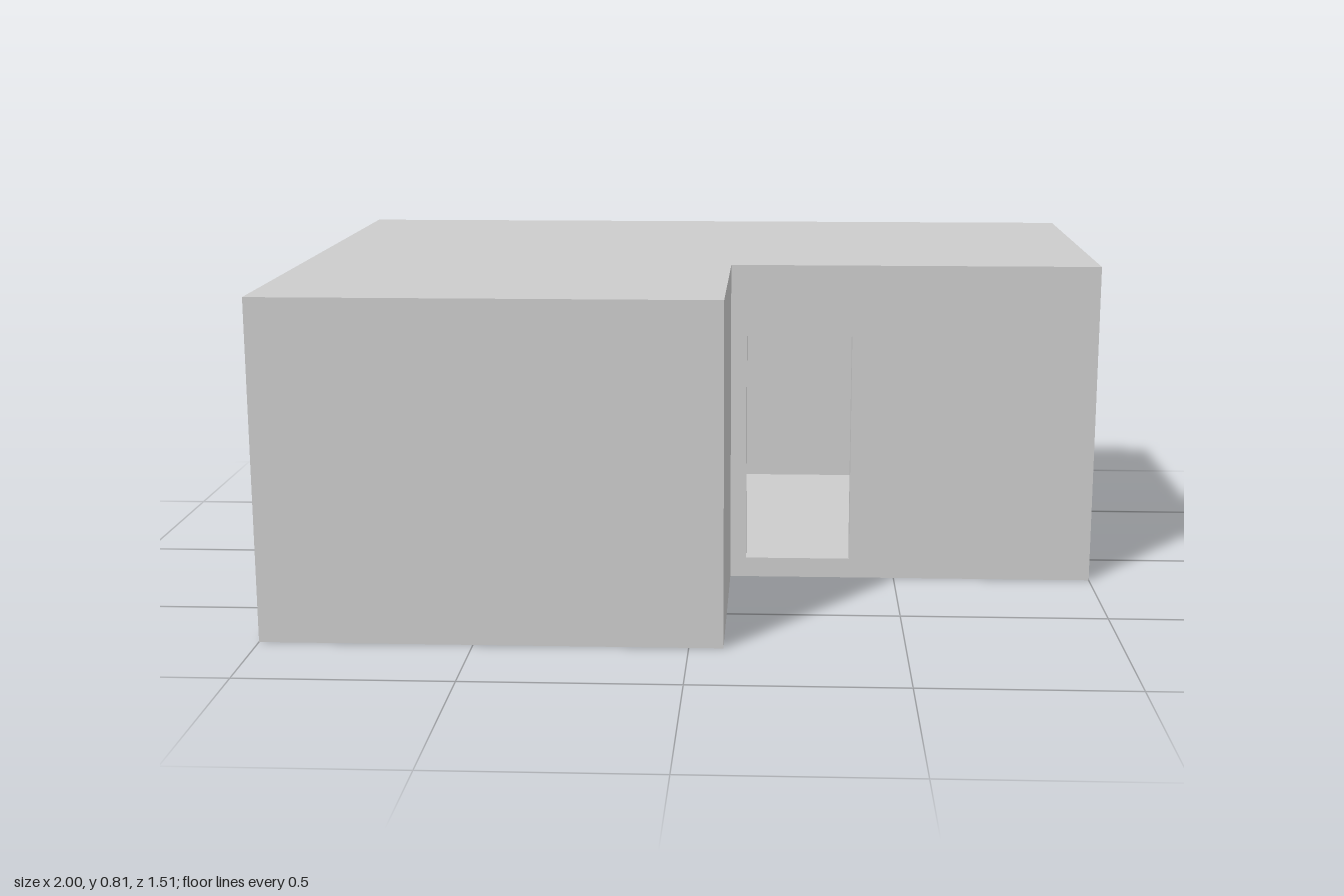
import * as THREE from 'three';

const T = 0.05;                 // thickness of walls, floor and roof
const H = 0.81;                 // overall height
const X0 = -1, X1 = 1, Z0 = -0.755, Z1 = 0.755;
const NX = 0.08, NZ = 0.185;    // inner corner of the L-shaped plan
const material = new THREE.MeshStandardMaterial({ color: 0xcccccc, flatShading: true });

function extrude(name, shape, depth) {
  const geometry = new THREE.ExtrudeGeometry(shape, { depth, bevelEnabled: false });
  const mesh = new THREE.Mesh(geometry, material);
  mesh.name = name;
  return mesh;
}

// L-shaped slab whose underside lies at height y
function slab(name, y) {
  const plan = [[X0, Z0], [X1, Z0], [X1, NZ], [NX, NZ], [NX, Z1], [X0, Z1]];
  const shape = new THREE.Shape(plan.map(([x, z]) => new THREE.Vector2(x, -z)));
  const mesh = extrude(name, shape, T);
  mesh.rotation.x = -Math.PI / 2;
  mesh.position.y = y;
  return mesh;
}

// Wall between floor and roof, running from `from` to `to` along x or z and
// growing by T from `at` on the other axis. Doors and windows are [start, end, bottom, top].
function wall(name, axis, from, to, at, { doors = [], windows = [] } = {}) {
  const shape = new THREE.Shape();
  shape.moveTo(from, T);
  for (const [a, b, , top] of doors) {
    shape.lineTo(a, T).lineTo(a, top).lineTo(b, top).lineTo(b, T);
  }
  shape.lineTo(to, T).lineTo(to, H - T).lineTo(from, H - T).closePath();
  for (const [a, b, bottom, top] of windows) {
    const hole = new THREE.Path();
    hole.moveTo(a, bottom).lineTo(a, top).lineTo(b, top).lineTo(b, bottom).closePath();
    shape.holes.push(hole);
  }
  const mesh = extrude(name, shape, T);
  if (axis === 'x') {
    mesh.position.z = at;
  } else {
    mesh.rotation.y = -Math.PI / 2;
    mesh.position.x = at + T;
  }
  return mesh;
}

export function createModel() {
  const house = new THREE.Group();
  house.name = 'house';
  house.add(
    slab('floor', 0),
    slab('roof', H - T),
    // Walls across the width
    wall('backWall', 'x', X0, X1, Z0),
    wall('frontWall', 'x', X0, NX, Z1 - T),
    wall('entranceWall', 'x', NX - T, X1, NZ - T, { doors: [[0.12, 0.385, T, 0.63]] }),
    // Walls along the depth, fitted between the others
    wall('leftWall', 'z', Z0 + T, NZ - T, X1 - T),
    wall('recessWall', 'z', NZ, Z1 - T, NX - T),
    wall('rightWall', 'z', Z0 + T, Z1 - T, X0, {
      doors: [[-0.58, -0.15, T, 0.71]],
      windows: [[0.285, 0.57, 0.27, 0.71]],
    }),
  );
  return house;
}
